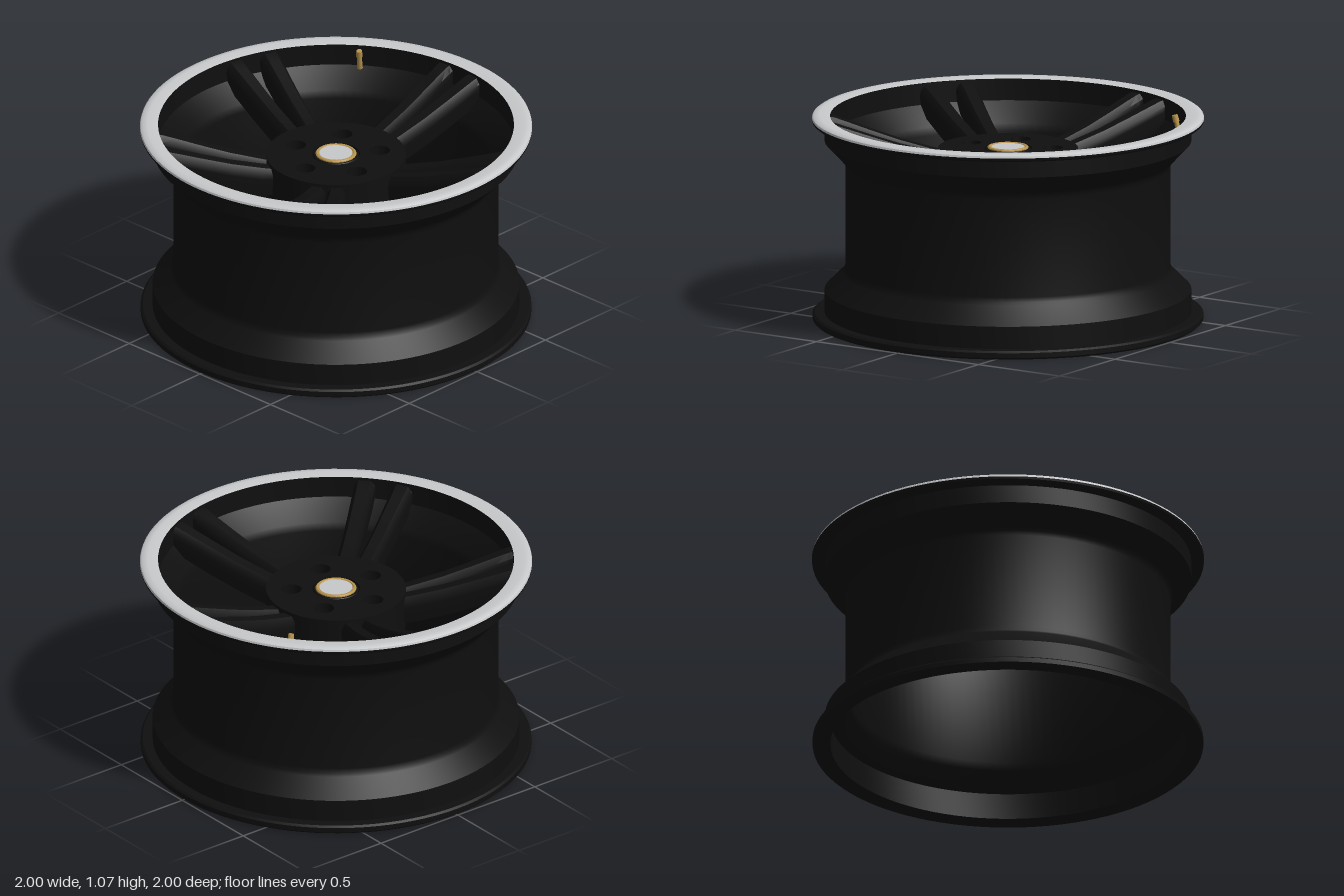
import * as THREE from 'three';
import { toCreasedNormals } from 'three/addons/utils/BufferGeometryUtils.js';

const material = (name, color) => Object.assign(new THREE.MeshStandardMaterial({ color }), { name });

export function createModel() {
  const black = material('blackPaint', 0x0f0f0f);
  const silver = material('polishedSilver', 0xc9cacc);
  const gold = material('goldMetal', 0xb8944c);
  const wheel = new THREE.Group();
  wheel.name = 'wheelRim';

  const add = (name, geometry, mat, parent = wheel) => {
    const mesh = new THREE.Mesh(geometry, mat);
    mesh.name = name;
    parent.add(mesh);
    return mesh;
  };
  // Profiles run up the outside and down the inside
  const lathe = (points, segments = 96) => toCreasedNormals(
    new THREE.LatheGeometry(points.map(([r, y]) => new THREE.Vector2(r, y)), segments), 0.6);

  // Barrel with flanges, bead seats and drop centre
  add('barrel', lathe([
    [0.905, 0.012], [0.92, 0], [0.985, 0], [0.996, 0.01], [0.996, 0.035], [0.985, 0.044],
    [0.935, 0.044], [0.935, 0.16], [0.845, 0.25], [0.833, 0.265], [0.829, 0.29],
    [0.829, 0.8], [0.833, 0.825], [0.845, 0.84], [0.935, 0.935], [0.935, 1.03],
    [0.988, 1.03], [0.998, 1.038], [1, 1.05],
  ]), black);
  add('barrelInside', lathe([
    [0.907, 1.062], [0.905, 0.95], [0.815, 0.85], [0.8, 0.81],
    [0.8, 0.28], [0.815, 0.24], [0.905, 0.15], [0.905, 0.012],
  ]), black);
  add('outerLip', lathe([
    [1, 1.05], [0.997, 1.06], [0.987, 1.067], [0.96, 1.069], [0.907, 1.062],
  ]), silver);

  // Hub disc with bore and nut pockets
  const nutSpots = [0, 1, 2, 3, 4].map((k) => {
    const a = Math.PI / 2 + k * Math.PI * 0.4;
    return [0.227 * Math.cos(a), 0.227 * Math.sin(a)];
  });
  const circleHole = (x, y, r) => new THREE.Path().absarc(x, y, r, 0, Math.PI * 2, true);
  const disc = (pockets, depth) => {
    const shape = new THREE.Shape().absarc(0, 0, 0.357, 0, Math.PI * 2);
    shape.holes.push(circleHole(0, 0, 0.123));
    if (pockets) nutSpots.forEach(([x, z]) => shape.holes.push(circleHole(x, -z, 0.052)));
    const geometry = new THREE.ExtrudeGeometry(shape, { depth, bevelEnabled: false, curveSegments: 40 });
    return toCreasedNormals(geometry.rotateX(-Math.PI / 2), 0.6);
  };
  add('hub', disc(true, 0.16), black).position.y = 0.735;
  add('hubBack', disc(false, 0.04), black).position.y = 0.695;

  // Hex nuts sunk in their pockets
  nutSpots.forEach(([x, z]) => {
    const nut = new THREE.Group();
    nut.name = 'wheelNut';
    nut.position.set(x, 0.735, z);
    wheel.add(nut);
    const profile = [[0.042, 0], [0.042, 0.085], [0.03, 0.1], [0.02, 0.104], [0, 0.106]];
    const hex = new THREE.LatheGeometry(profile.map(([r, y]) => new THREE.Vector2(r, y)), 6);
    add('hexNut', toCreasedNormals(hex, 0.3), gold, nut);
  });

  // Centre cap, clear of the bore by a thin gap
  add('capBody', lathe([
    [0, 0.72], [0.117, 0.72], [0.117, 0.888], [0.112, 0.894], [0.1, 0.895], [0, 0.895],
  ], 48), black);
  add('capRing', lathe([
    [0.104, 0.89], [0.104, 0.9], [0.099, 0.905], [0.089, 0.905], [0.084, 0.9], [0.084, 0.893],
  ], 48), gold);
  add('capDisc', new THREE.CylinderGeometry(0.085, 0.085, 0.007, 48), silver).position.y = 0.898;

  // Spoke stations: radius, top, bottom, sideways offset, half width
  const stations = [
    [0.28, 0.86, 0.72, 0.045, 0.045], [0.4, 0.89, 0.745, 0.056, 0.049],
    [0.55, 0.93, 0.785, 0.069, 0.05], [0.7, 0.98, 0.835, 0.082, 0.052],
    [0.82, 1.022, 0.88, 0.093, 0.054], [0.88, 1.043, 0.9, 0.098, 0.057],
    [0.912, 1.05, 0.93, 0.101, 0.058],
  ];
  // Cross-section: height fraction, width fraction
  const section = [[1, -0.55], [1, 0.55], [0.8, 0.95], [0.6, 1], [0, 0.85], [0, -0.85], [0.6, -1], [0.8, -0.95]];
  const spokeGeometry = (side) => {
    const positions = [], index = [], n = section.length;
    stations.forEach(([r, top, bottom, offset, half], i) => section.forEach(([h, w], j) => {
      positions.push(r, bottom + (top - bottom) * h, side * offset + half * w);
      if (i === stations.length - 1) return;
      const a = i * n + j, b = i * n + (j + 1) % n;
      index.push(a, b, a + n, b, b + n, a + n);
    }));
    const geometry = new THREE.BufferGeometry();
    geometry.setAttribute('position', new THREE.Float32BufferAttribute(positions, 3));
    geometry.setIndex(index);
    return toCreasedNormals(geometry, 0.6);
  };
  const halves = [spokeGeometry(-1), spokeGeometry(1)];
  for (let k = 0; k < 5; k++) {
    const pair = new THREE.Group();
    pair.name = 'spokePair';
    pair.rotation.y = Math.PI / 2 + k * Math.PI * 0.4;
    halves.forEach((geometry) => add('spoke', geometry, black, pair));
    wheel.add(pair);
  }

  // Valve stem leaning toward the hub
  const valve = new THREE.Group();
  valve.name = 'valve';
  valve.position.set(-0.515, 0.95, -0.71);
  valve.rotation.set(0.2, 0, -0.14);
  add('valveStem', new THREE.CylinderGeometry(0.012, 0.015, 0.08, 12), gold, valve).position.y = 0.04;
  add('valveCap', new THREE.CylinderGeometry(0.015, 0.017, 0.035, 12), gold, valve).position.y = 0.095;
  wheel.add(valve);

  return wheel;
}
